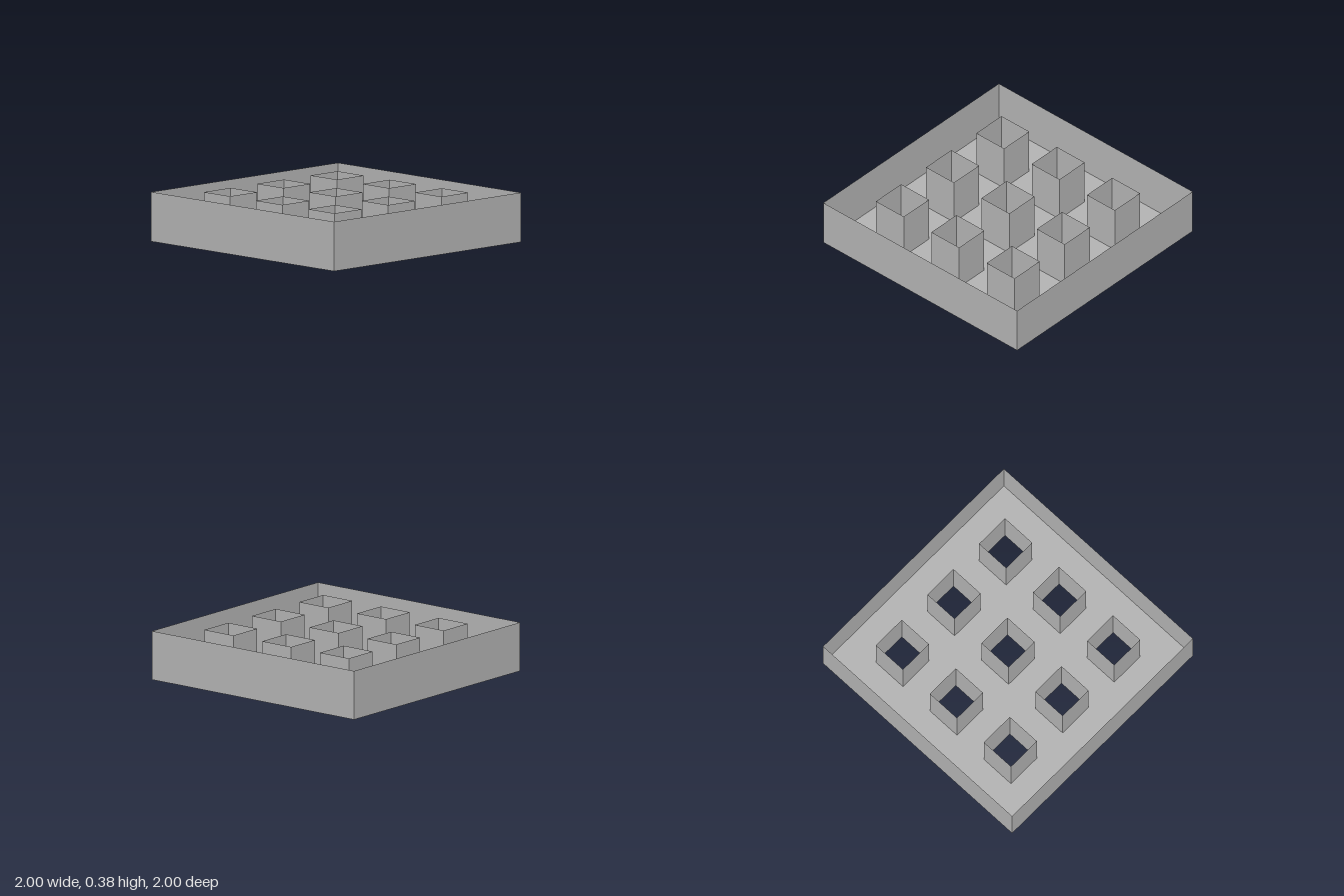
import * as THREE from 'three';

const HEIGHT = 0.383;
const UNIT = 1 / 7;

// Four upright sheets around a square, open at top and bottom
function squareSleeve(name, half, x, z, material) {
  const sleeve = new THREE.Group();
  sleeve.name = name;
  const sheet = new THREE.PlaneGeometry(half * 2, HEIGHT);
  sheet.translate(0, HEIGHT / 2, half);
  for (let i = 0; i < 4; i++) {
    const side = new THREE.Mesh(sheet, material);
    side.name = name + 'Side';
    side.rotation.y = (i * Math.PI) / 2;
    sleeve.add(side);
  }
  sleeve.position.set(x, 0, z);
  return sleeve;
}

// Adds a square outline to a shape or path
function square(path, half, x, y) {
  path.moveTo(x - half, y - half);
  path.lineTo(x + half, y - half);
  path.lineTo(x + half, y + half);
  path.lineTo(x - half, y + half);
  path.closePath();
  return path;
}

export function createModel() {
  const model = new THREE.Group();
  model.name = 'trayWithSquareTubes';
  const grey = new THREE.MeshStandardMaterial({ color: 0xb2b2b2, side: THREE.DoubleSide });
  grey.name = 'grey';

  // Outer walls
  model.add(squareSleeve('outerWall', 1, 0, 0, grey));

  // Three by three open tubes, each with a matching hole in the floor
  const floorShape = square(new THREE.Shape(), 1, 0, 0);
  for (const row of [-1, 0, 1]) {
    for (const column of [-1, 0, 1]) {
      const x = column * 4 * UNIT;
      const z = row * 4 * UNIT;
      model.add(squareSleeve('tube', UNIT, x, z, grey));
      floorShape.holes.push(square(new THREE.Path(), UNIT, x, z));
    }
  }

  // Floor sheet, facing down
  const floorGeometry = new THREE.ShapeGeometry(floorShape);
  floorGeometry.rotateX(Math.PI / 2);
  const floor = new THREE.Mesh(floorGeometry, grey);
  floor.name = 'floor';
  model.add(floor);

  return model;
}
